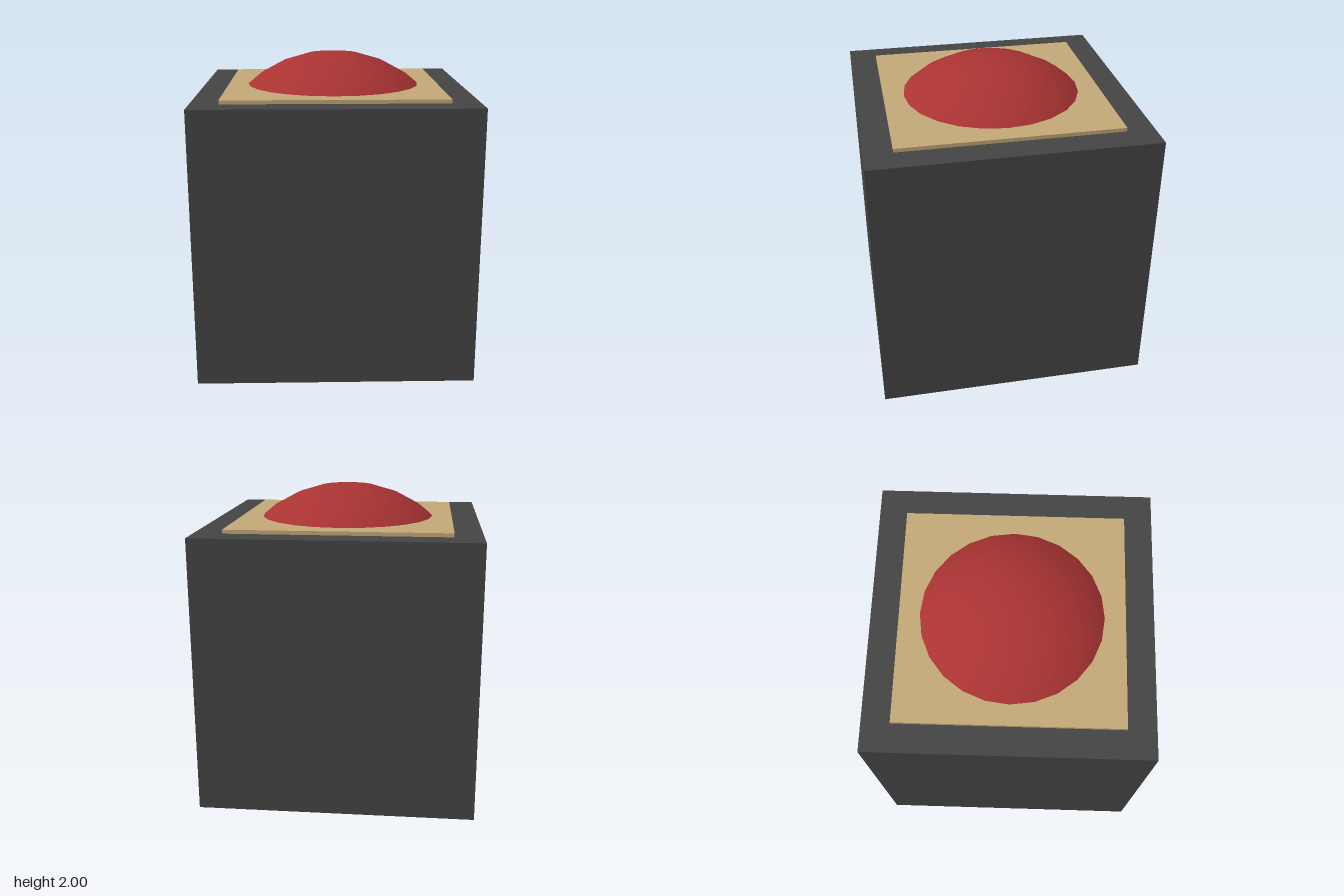
import * as THREE from 'three';

const SIZE = 1.76;        // edge of the cube body
const PLATE = 1.404;      // edge of the square plate
const PLATE_TOP = 1.784;
const RADIUS = 0.88;      // curvature of the dome

function addPart(group, name, geometry, color, y) {
  const mesh = new THREE.Mesh(geometry, new THREE.MeshStandardMaterial({ color }));
  mesh.name = name;
  mesh.position.y = y;
  group.add(mesh);
}

export function createModel() {
  const group = new THREE.Group();
  group.name = 'buttonBox';

  // Cube body standing on the ground
  addPart(group, 'body', new THREE.BoxGeometry(SIZE, SIZE, SIZE), 0x444444, SIZE / 2);

  // Thin plate, set slightly into the top of the body
  const thickness = 0.044;
  addPart(group, 'plate', new THREE.BoxGeometry(PLATE, thickness, PLATE), 0xc2a878, PLATE_TOP - thickness / 2);

  // Smooth shallow dome whose rim sinks below the plate
  const dome = new THREE.SphereGeometry(RADIUS, 24, 4, 0, Math.PI * 2, 0, Math.PI / 4);
  addPart(group, 'button', dome, 0xaa3333, 2 - RADIUS);

  return group;
}
